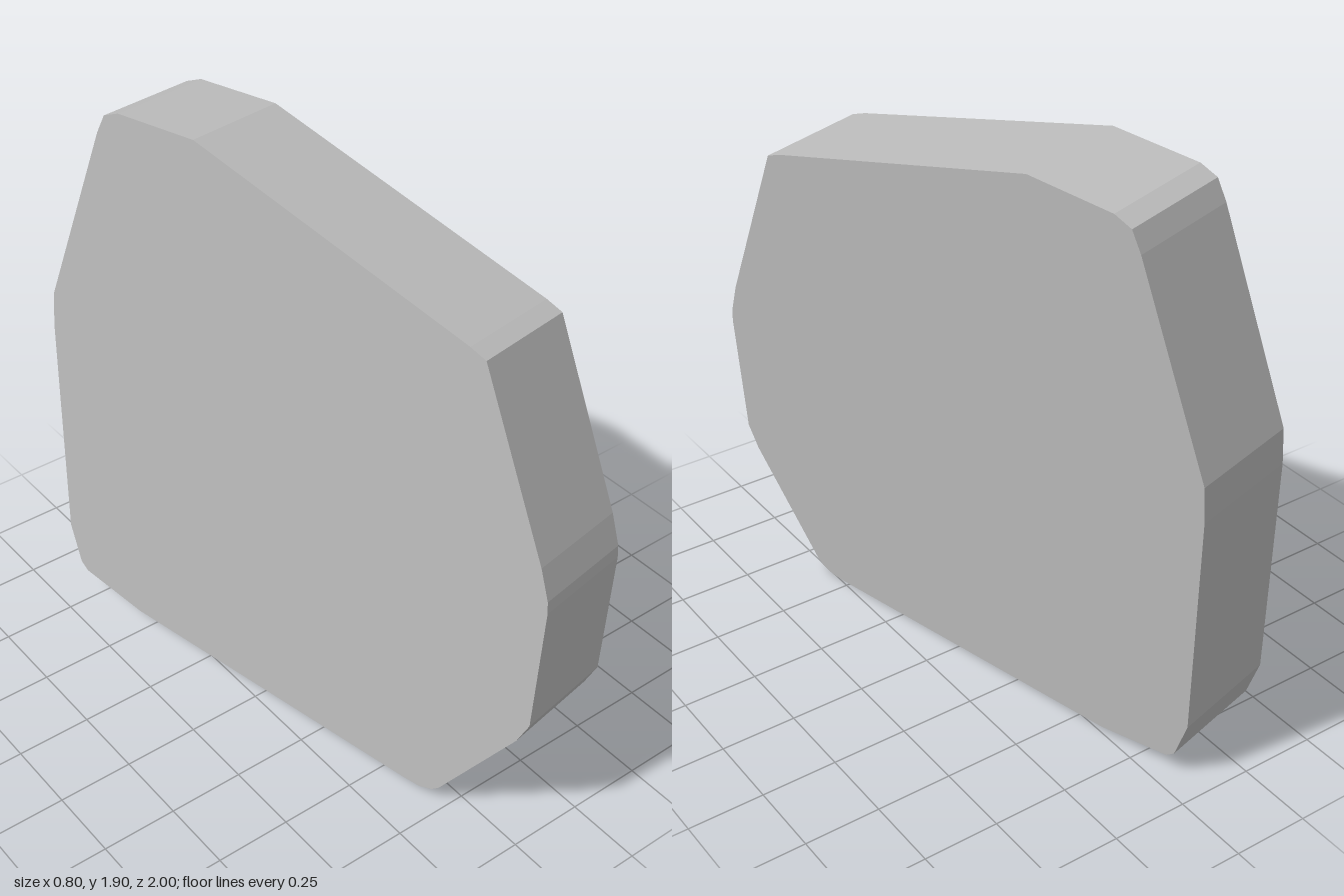
import * as THREE from 'three';

// Outline of the slab's left face as [z, y], counter-clockwise seen from +x
const outline = [
  [0.52, 0.004], [-0.61, 0.03], [-0.86, 0.07], [-0.89, 0.095], [-0.94, 0.23],
  [-1.0, 1.01], [-1.0, 1.13], [-0.80, 1.77], [-0.772, 1.835], [-0.715, 1.86],
  [-0.42, 1.878], [0.575, 1.62], [0.63, 1.60], [0.885, 1.04], [0.92, 0.94],
  [0.925, 0.90], [0.925, 0.48], [0.89, 0.40], [0.65, 0.045], [0.625, 0.023], [0.58, 0.006],
];

// Thickness vector, from the right face to the left face
const thickness = new THREE.Vector3(0.35, -0.025, -0.075);

export function createModel() {
  const group = new THREE.Group();
  group.name = 'slab';

  const stone = new THREE.MeshStandardMaterial({ color: 0xbcbcbc });
  stone.name = 'stone grey';

  const shape = new THREE.Shape(outline.map(([z, y]) => new THREE.Vector2(-z, y)));
  const geometry = new THREE.ExtrudeGeometry(shape, { depth: 1, bevelEnabled: false });

  // Lay the outline on its tilted plane and extrude along the thickness vector
  const pos = geometry.attributes.position;
  const p = new THREE.Vector3();
  for (let i = 0; i < pos.count; i++) {
    const y = pos.getY(i), z = -pos.getX(i), t = pos.getZ(i) - 1;
    p.set(0.131 + 0.0714 * y + 0.2143 * z, y, z).addScaledVector(thickness, t);
    pos.setXYZ(i, p.x, p.y, p.z);
  }
  geometry.computeVertexNormals();

  const body = new THREE.Mesh(geometry, stone);
  body.name = 'slabBody';
  group.add(body);
  return group;
}
